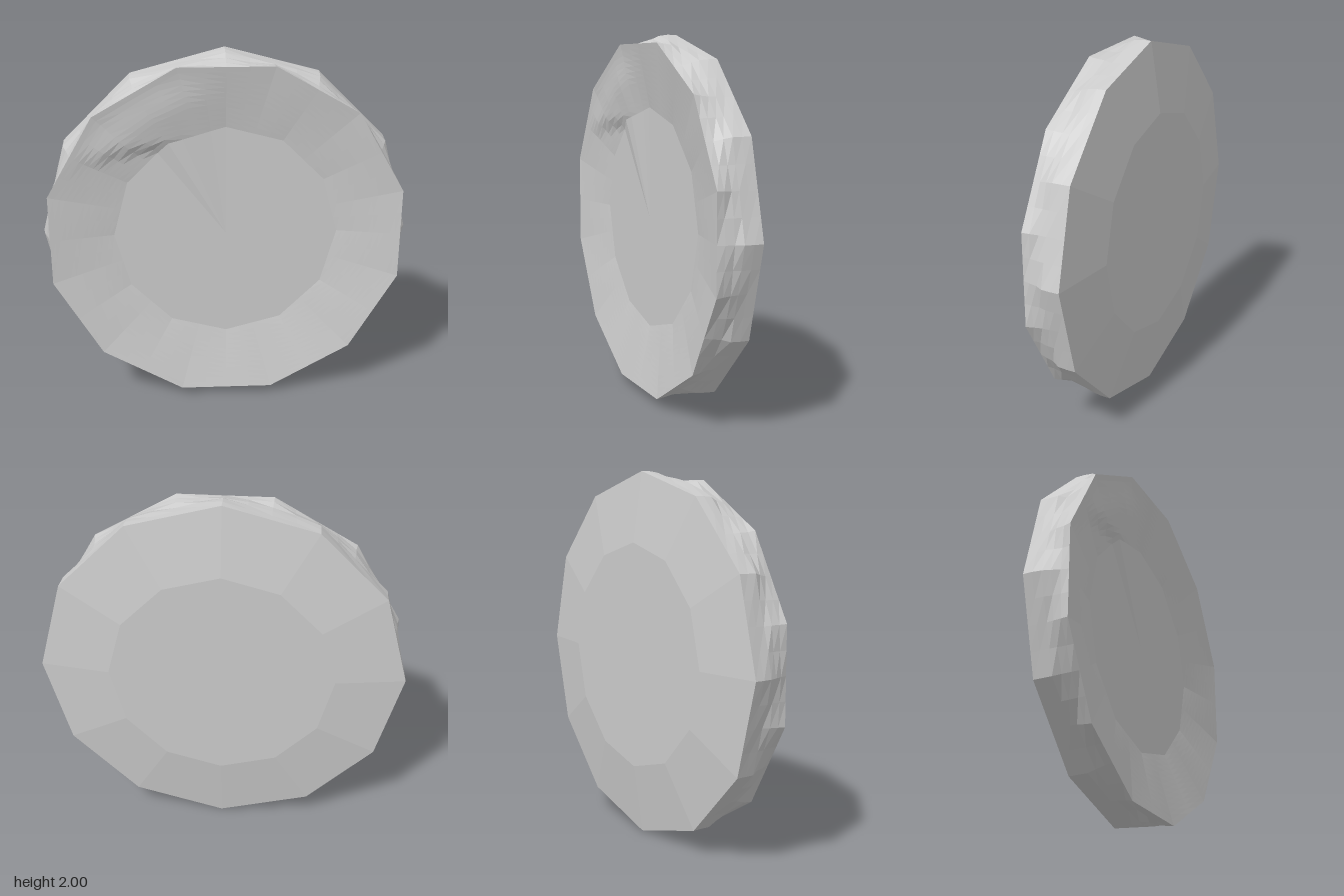
import * as THREE from 'three';

const SEG = 48;
const SIDES = 12;
const material = new THREE.MeshStandardMaterial({ color: 0xcccccc, flatShading: true });

// Radius of a regular 12-sided outline at an angle; turn shifts its corners
function outline(angle, radius, turn = 0) {
  const step = (Math.PI * 2) / SIDES;
  const local = ((((angle - turn) % step) + step) % step) - step / 2;
  return (radius * Math.cos(step / 2)) / Math.cos(local);
}

// Skin between rings; ringPoint(i, angle) gives [radius, z]
function loft(name, rings, ringPoint, adjust) {
  const positions = [];
  const index = [];
  for (let i = 0; i < rings; i++) {
    for (let j = 0; j < SEG; j++) {
      const a = (j / SEG) * Math.PI * 2;
      const [r, z] = ringPoint(i, a, j);
      const x = r * Math.cos(a);
      const y = r * Math.sin(a);
      positions.push(x, y + 1, adjust ? adjust(x, y, z, r) : z);
      if (i < rings - 1) {
        const p = i * SEG + j;
        const q = i * SEG + ((j + 1) % SEG);
        index.push(p, p + SEG, q + SEG, p, q + SEG, q);
      }
    }
  }
  const geometry = new THREE.BufferGeometry();
  geometry.setAttribute('position', new THREE.Float32BufferAttribute(positions, 3));
  geometry.setIndex(index);
  geometry.computeVertexNormals();
  const mesh = new THREE.Mesh(geometry, material);
  mesh.name = name;
  return mesh;
}

export function createModel() {
  const group = new THREE.Group();
  group.name = 'roughDisc';
  const turn = Math.PI / SIDES;
  const smooth = THREE.MathUtils.smoothstep;

  // Hollowed front: flat floor, sloping border and a small ledge at upper left
  const BORDER = 12;
  const ledge = (x, y, z, r) => {
    const above = y - (0.55 + 0.13 * x);
    const lift = smooth(above, -0.03, 0.04) * smooth(-x, 0, 0.35) * (1 - smooth(r, 0.75, 0.95));
    return z + 0.022 * lift;
  };
  group.add(loft('frontDish', BORDER + 2, (i, a) => {
    if (i === 0) return [0, 0.07];
    const t = (i - 1) / BORDER;
    const r = THREE.MathUtils.lerp(outline(a, 0.61), outline(a, 0.985, turn), t);
    return [r, THREE.MathUtils.lerp(0.07, 0.14, t)];
  }, ledge));

  // Chipped edge: front corners fall between the back corners
  const wall = [
    { z: 0.14, mix: 1, chip: 0 },
    { z: 0.1, mix: 0.75, chip: 0.006 },
    { z: 0.055, mix: 0.4, chip: 0.008 },
    { z: 0.015, mix: 0.05, chip: 0.005 },
    { z: -0.035, mix: 0, chip: 0.003 },
    { z: -0.085, mix: 0, chip: 0 },
  ];
  group.add(loft('edge', wall.length, (i, a, j) => {
    const { z, mix, chip } = wall[i];
    const r = THREE.MathUtils.lerp(outline(a, 1), outline(a, 0.985, turn), mix);
    const rough = 0.5 + 0.5 * Math.sin(j * 2.7 + i * 4.1 + Math.sin(j * 1.3));
    return [r - chip * rough, z];
  }));

  // Back: bevelled border around a flat centre
  const back = [[1, -0.085], [0.62, -0.14], [0, -0.14]];
  group.add(loft('back', back.length, (i, a) => [outline(a, back[i][0]), back[i][1]]));

  return group;
}
